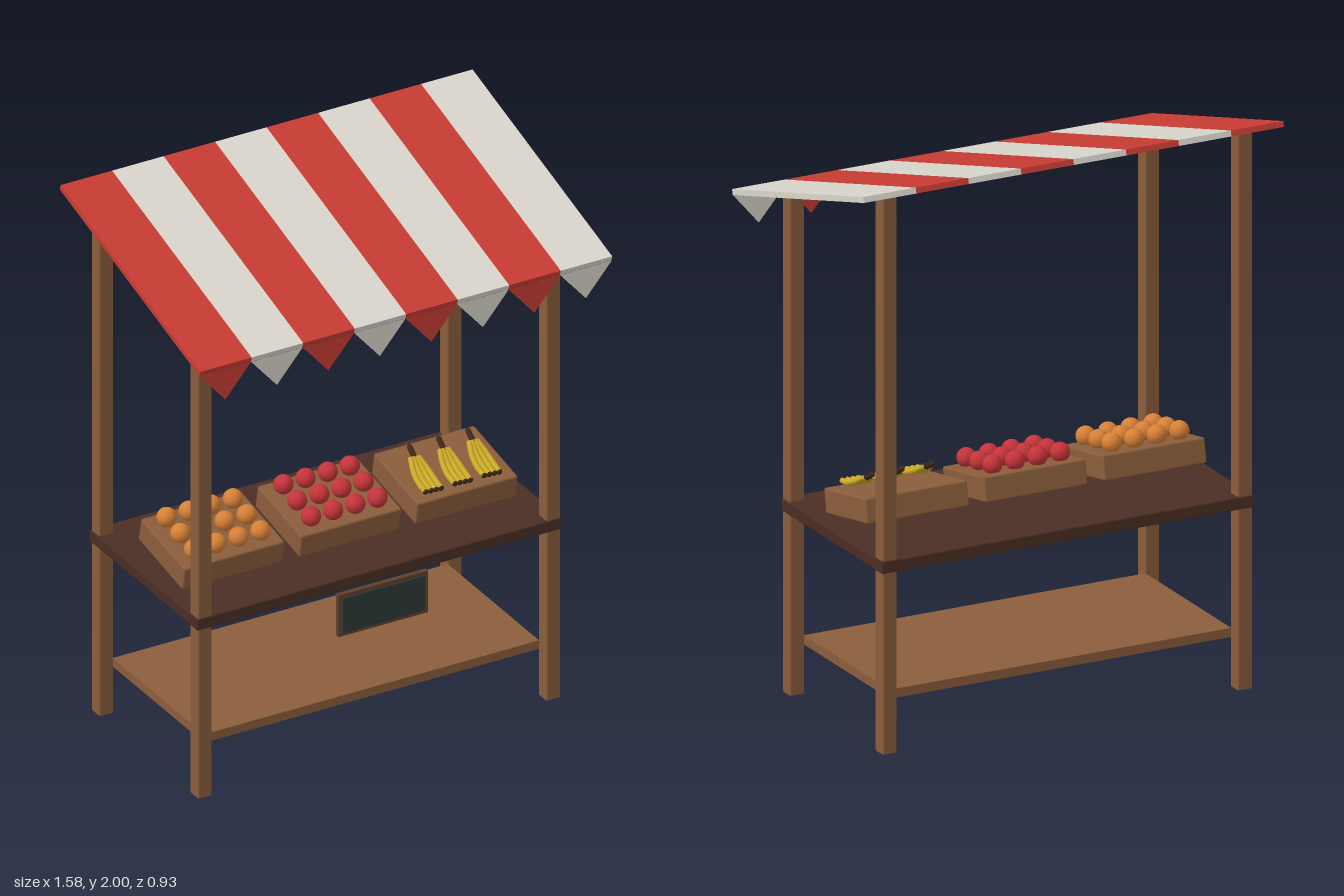
import * as THREE from 'three';
import { RoundedBoxGeometry } from 'three/addons/geometries/RoundedBoxGeometry.js';

const material = (name, color, side = THREE.FrontSide) => {
  const m = new THREE.MeshStandardMaterial({ color, side });
  m.name = name;
  return m;
};

export function createModel() {
  const wood = material('wood', 0x8b5e3c);
  const darkWood = material('darkWood', 0x4a2e24);
  const frameWood = material('frameWood', 0x61402c);
  const red = material('redCloth', 0xc83c34, THREE.DoubleSide);
  const cream = material('creamCloth', 0xdad6cd, THREE.DoubleSide);
  const orange = material('orangePeel', 0xd68036);
  const apple = material('appleSkin', 0xc4343a);
  const yellow = material('bananaPeel', 0xccaa28);
  const stemBrown = material('stemBrown', 0x3d2a1a);
  const slate = material('slate', 0x2c3839);

  const stall = new THREE.Group();
  stall.name = 'marketStall';

  const add = (parent, name, geometry, mat, x = 0, y = 0, z = 0) => {
    const mesh = new THREE.Mesh(geometry, mat);
    mesh.name = name;
    mesh.position.set(x, y, z);
    parent.add(mesh);
    return mesh;
  };
  const bevelled = (w, h, d, r = 0.006) => new RoundedBoxGeometry(w, h, d, 1, r);

  // Posts: the back pair is taller to carry the sloping awning
  for (const side of [-1, 1]) {
    add(stall, 'frontPost', bevelled(0.055, 1.76, 0.055), wood, side * 0.668, 0.88, 0.26);
    add(stall, 'backPost', bevelled(0.055, 1.966, 0.055), wood, side * 0.668, 0.983, -0.393);
  }

  // Counter and lower shelf
  add(stall, 'counter', bevelled(1.4, 0.045, 0.715), darkWood, 0, 0.663, -0.067);
  add(stall, 'lowerShelf', new THREE.BoxGeometry(1.285, 0.032, 0.605), wood, 0, 0.192, -0.067);

  // Hanging chalkboard
  add(stall, 'signFrame', bevelled(0.345, 0.16, 0.018, 0.003), frameWood, 0, 0.561, 0.303);
  add(stall, 'signBoard', new THREE.BoxGeometry(0.315, 0.13, 0.006), slate, 0, 0.561, 0.3145);

  // Striped awning with a pointed valance
  const stripes = 8, stripeWidth = 1.58 / stripes, slope = 0.28;
  const awning = new THREE.Group();
  awning.name = 'awning';
  awning.position.y = 1.857;
  stall.add(awning);
  const pennant = new THREE.Shape([
    new THREE.Vector2(-stripeWidth / 2, 0),
    new THREE.Vector2(0, -0.115),
    new THREE.Vector2(stripeWidth / 2, 0),
  ]);
  for (let i = 0; i < stripes; i++) {
    const x = (i - (stripes - 1) / 2) * stripeWidth;
    const cloth = i % 2 ? cream : red;
    add(awning, 'awningStripe', new THREE.BoxGeometry(stripeWidth, 0.02, 0.962), cloth, x).rotation.x = slope;
    add(awning, 'valancePoint', new THREE.ShapeGeometry(pennant), cloth, x, -0.142, 0.461);
  }

  // Crates tilted towards the front
  const crateTop = 0.044;
  const makeCrate = (name, x) => {
    const crate = new THREE.Group();
    crate.name = name;
    crate.position.set(x, 0.753, -0.05);
    crate.rotation.x = 0.184;
    add(crate, 'crateBox', bevelled(0.386, crateTop * 2, 0.297, 0.007), wood);
    stall.add(crate);
    return crate;
  };

  // Round fruit in four columns and three rows
  const ball = new THREE.SphereGeometry(0.034, 20, 14);
  const fillRound = (crate, name, mat) => {
    for (let row = -1; row <= 1; row++)
      for (let col = 0; col < 4; col++)
        add(crate, name, ball, mat, (col - 1.5) * 0.085, crateTop + 0.027, row * 0.093);
  };
  fillRound(makeCrate('orangeCrate', -0.448), 'orange', orange);
  fillRound(makeCrate('appleCrate', 0), 'apple', apple);

  // Bananas: curved, fanned out from a shared stem
  const bananaCrate = makeCrate('bananaCrate', 0.446);
  for (let b = -1; b <= 1; b++) {
    const bunch = new THREE.Group();
    bunch.name = 'bananaBunch';
    bunch.position.set(b * 0.112, crateTop, 0);
    bunch.rotation.y = -0.06;
    bananaCrate.add(bunch);
    for (let i = -1.5; i <= 1.5; i++) {
      const curve = new THREE.CatmullRomCurve3([
        new THREE.Vector3(i * 0.019, 0.018, 0.122),
        new THREE.Vector3(i * 0.02, 0.017, 0.075),
        new THREE.Vector3(i * 0.017, 0.028, 0.022),
        new THREE.Vector3(i * 0.009, 0.046, -0.026),
      ]);
      add(bunch, 'banana', new THREE.TubeGeometry(curve, 10, 0.0105, 8), yellow);
      const tip = add(bunch, 'bananaTip', new THREE.SphereGeometry(0.0105, 8, 6), stemBrown, i * 0.019, 0.018, 0.122);
      tip.scale.z = 0.6;
    }
    const stemCurve = new THREE.LineCurve3(new THREE.Vector3(0, 0.042, -0.018), new THREE.Vector3(0, 0.06, -0.066));
    add(bunch, 'bananaStem', new THREE.TubeGeometry(stemCurve, 1, 0.01, 8), stemBrown);
    add(bunch, 'stemEnd', new THREE.SphereGeometry(0.01, 8, 6), stemBrown, 0, 0.06, -0.066);
  }

  return stall;
}
